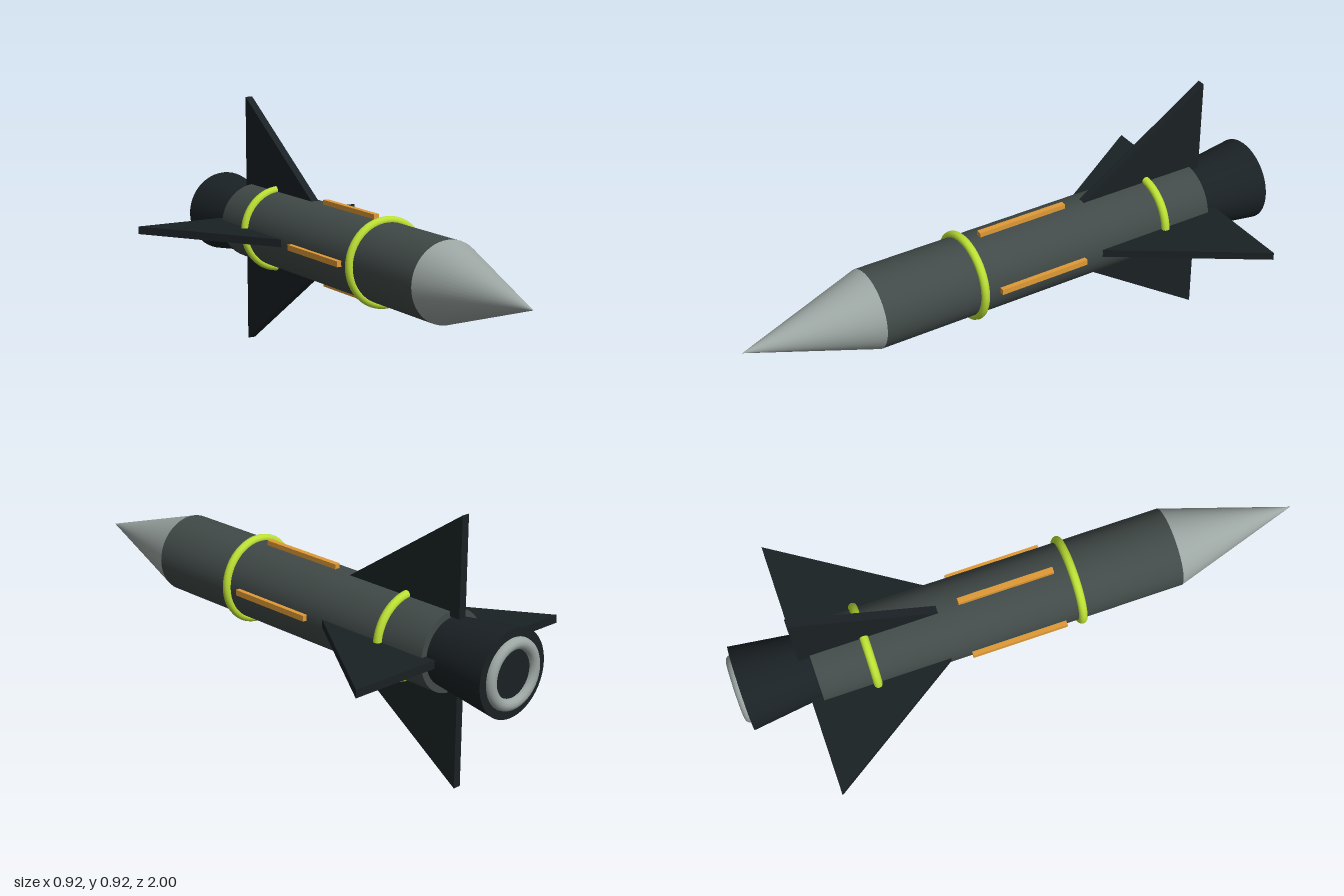
import * as THREE from 'three';

const AXIS_Y = 0.458;
const R = 0.138;

export function createModel() {
  const model = new THREE.Group();
  model.name = 'rocket';
  // everything is built around the z axis, then lifted to stand on the lower fin
  model.position.y = AXIS_Y;

  const paint = (color) => new THREE.MeshStandardMaterial({ color });
  const hull = paint(0x414a48);
  const pale = paint(0x9ca6a3);
  const dark = paint(0x1a2124);
  const lime = paint(0xbce034);
  const amber = paint(0xdf9a35);

  const add = (name, geometry, material, parent = model) => {
    const mesh = new THREE.Mesh(geometry, material);
    mesh.name = name;
    parent.add(mesh);
    return mesh;
  };

  // round section along z, from the front radius to the rear radius
  const section = (name, rFront, rRear, zFront, zRear, material) => {
    const g = new THREE.CylinderGeometry(rFront, rRear, zFront - zRear, 48);
    g.rotateX(Math.PI / 2);
    g.translate(0, 0, (zFront + zRear) / 2);
    return add(name, g, material);
  };

  // ring around the z axis
  const ring = (name, radius, tube, z, material) => {
    add(name, new THREE.TorusGeometry(radius, tube, 12, 48), material).position.z = z;
  };

  section('noseCone', 0, R, 1, 0.55, pale);
  section('body', R, R, 0.55, -0.73, hull);
  section('nozzle', 0.115, 0.147, -0.73, -0.98, dark);

  ring('frontBand', 0.142, 0.015, 0.185, lime);
  ring('rearBand', 0.142, 0.015, -0.543, lime);
  ring('nozzleRim', 0.099, 0.02, -0.98, pale);

  // fin outline: x = distance from the axis, y = position along z
  const outline = new THREE.Shape([
    new THREE.Vector2(0.12, -0.258),
    new THREE.Vector2(0.12, -0.77),
    new THREE.Vector2(0.458, -0.77),
  ]);
  const finGeometry = new THREE.ExtrudeGeometry(outline, { depth: 0.028, bevelEnabled: false });
  finGeometry.translate(0, 0, -0.014);
  finGeometry.rotateX(Math.PI / 2);

  const stripGeometry = new THREE.BoxGeometry(0.03, 0.02, 0.336);
  stripGeometry.translate(0.139, 0, -0.043);

  // four fins and four side strips, a quarter turn apart
  for (let i = 0; i < 4; i++) {
    const quarter = new THREE.Group();
    quarter.name = 'quarter' + (i + 1);
    quarter.rotation.z = (i * Math.PI) / 2;
    add('fin', finGeometry, dark, quarter);
    add('strip', stripGeometry, amber, quarter);
    model.add(quarter);
  }

  const root = new THREE.Group();
  root.name = 'model';
  root.add(model);
  return root;
}
